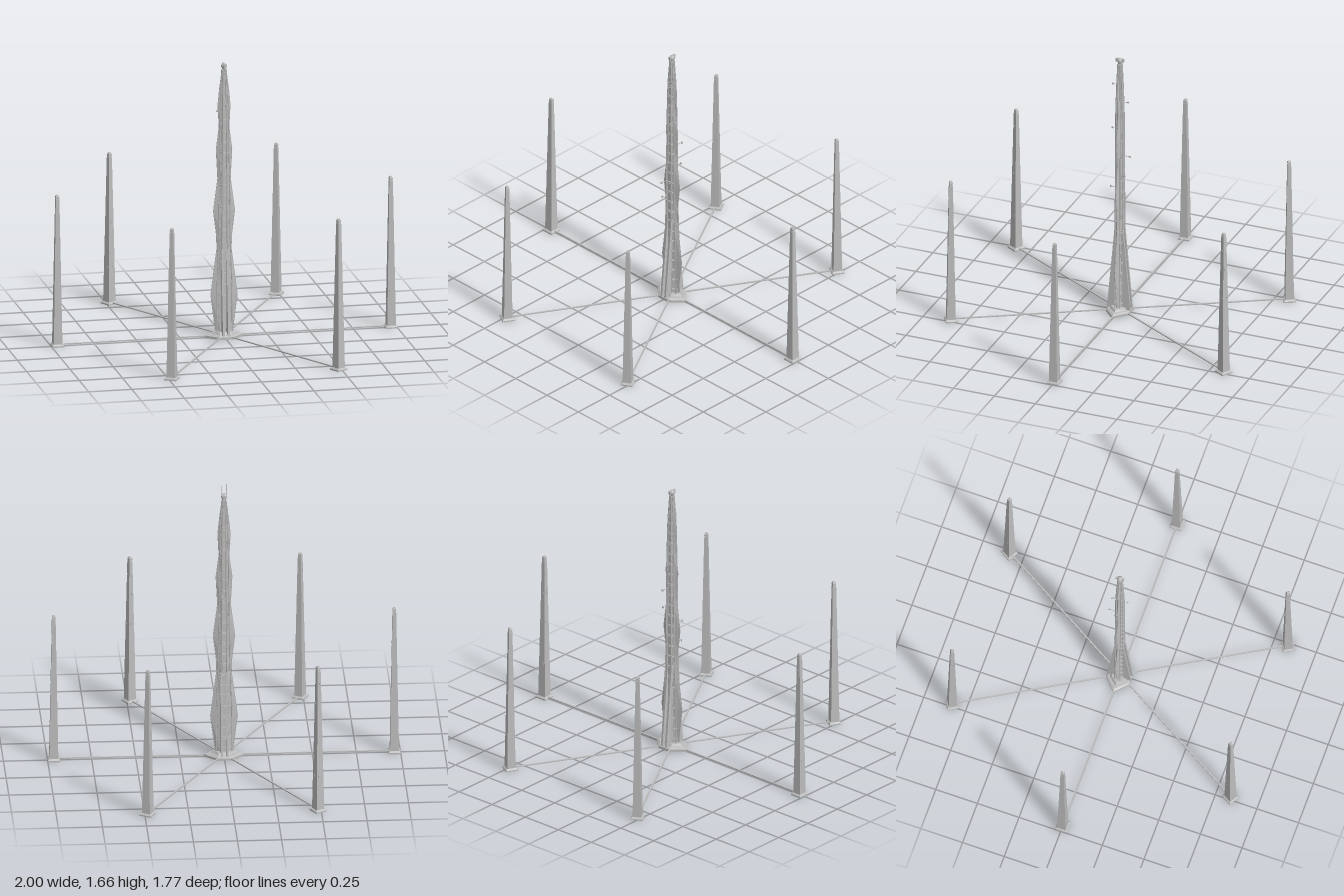
import * as THREE from 'three';

const grey = new THREE.MeshStandardMaterial({ color: 0xbcbcbc });
grey.name = 'light grey';

function add(parent, name, geometry, x = 0, y = 0, z = 0) {
  const m = new THREE.Mesh(geometry, grey);
  m.name = name;
  m.position.set(x, y, z);
  parent.add(m);
  return m;
}
const box = (w, h, d) => new THREE.BoxGeometry(w, h, d);

// round bar between two points
function bar(parent, name, a, b, r) {
  const p = new THREE.Vector3(...a), q = new THREE.Vector3(...b);
  const m = add(parent, name, new THREE.CylinderGeometry(r, r, p.distanceTo(q), 5));
  m.position.copy(p).add(q).multiplyScalar(0.5);
  m.quaternion.setFromUnitVectors(new THREE.Vector3(0, 1, 0), q.sub(p).normalize());
}

// flat-faced skin through horizontal rings of equal point count
function loft(rings) {
  const v = [], n = rings[0].length;
  const tri = (a, b, c) => v.push(...a, ...b, ...c);
  for (let i = 0; i + 1 < rings.length; i++) {
    for (let j = 0; j < n; j++) {
      const k = (j + 1) % n, A = rings[i], B = rings[i + 1];
      tri(A[j], B[j], B[k]);
      tri(A[j], B[k], A[k]);
    }
  }
  const low = rings[0], top = rings[rings.length - 1];
  for (let j = 1; j + 1 < n; j++) {
    tri(low[0], low[j], low[j + 1]);
    tri(top[0], top[j + 1], top[j]);
  }
  const g = new THREE.BufferGeometry();
  g.setAttribute('position', new THREE.Float32BufferAttribute(v, 3));
  g.computeVertexNormals();
  return g;
}
// rings run clockwise seen from above, so the skin faces outward
// six-sided ring: points on +x and -x, flats on +z and -z
const hex = (y, w, f, d) => [[w, y, 0], [f, y, -d], [-f, y, -d], [-w, y, 0], [-f, y, d], [f, y, d]].reverse();
const square = (y, s) => [[s, y, s], [-s, y, s], [-s, y, -s], [s, y, -s]];

// linear interpolation in a list of [y, value]
function at(list, y) {
  for (let i = 0; i + 1 < list.length; i++) {
    const [y0, a] = list[i], [y1, b] = list[i + 1];
    if (y <= y1) return a + (b - a) * Math.max(0, (y - y0) / (y1 - y0));
  }
  return list[list.length - 1][1];
}

function makePylon() {
  const g = new THREE.Group();
  g.name = 'pylon';
  add(g, 'pylonBase', loft([square(0, 0.035), square(0.008, 0.035), square(0.016, 0.027)]));
  add(g, 'pylonShaft', loft([square(0.014, 0.025), square(0.855, 0.0105), square(0.872, 0.0085)]));
  add(g, 'pylonCap', loft([square(0.868, 0.01), square(0.876, 0.01), square(0.886, 0.006)]));
  // small flat studs on the faces
  [0.22, 0.48, 0.66, 0.78].forEach((y, i) => {
    const s = 0.025 - (y - 0.014) * 0.0172, o = (i % 2 ? 0.4 : -0.4) * s;
    for (const k of [-1, 1]) {
      add(g, 'stud', box(0.004, 0.012, 0.002), o, y, k * s);
      add(g, 'stud', box(0.002, 0.012, 0.004), k * s, y, -o);
    }
  });
  return g;
}

function makeTower() {
  const g = new THREE.Group();
  g.name = 'tower';
  const frame = [[0.03, 0.05], [0.3, 0.048], [0.6, 0.036], [1.0, 0.031], [1.25, 0.027], [1.42, 0.024], [1.57, 0.012]];
  const depth = [[0.03, 0.024], [1.3, 0.02], [1.57, 0.01]];
  const wings = [[0.03, 0.05], [0.25, 0.077], [0.52, 0.042], [0.6, 0.045], [0.74, 0.062], [0.93, 0.037],
    [1.1, 0.046], [1.23, 0.029], [1.36, 0.036], [1.46, 0.026], [1.57, 0.012]];

  // stepped hexagonal foot
  add(g, 'footLower', loft([hex(0, 0.115, 0.04, 0.07), hex(0.014, 0.115, 0.04, 0.07), hex(0.022, 0.095, 0.036, 0.06)]));
  add(g, 'footUpper', loft([hex(0.02, 0.08, 0.035, 0.05), hex(0.036, 0.065, 0.032, 0.04)]));

  // bulging side wings
  add(g, 'wings', loft(wings.map(([y, w]) => hex(y, w, at(frame, y) * 0.4, at(depth, y) * 0.75))));

  // paired front and back buttresses, broad at the foot
  for (const k of [-1, 1]) {
    for (const s of [-1, 1]) {
      const ring = (y, z) => {
        const x = s * 0.015, a = 0.006, near = k * 0.01, far = k * z;
        const p = [[x + a, y, far], [x - a, y, far], [x - a, y, near], [x + a, y, near]];
        return k > 0 ? p : p.reverse();
      };
      add(g, 'buttress', loft([ring(0.02, 0.072), ring(0.035, 0.07), ring(0.52, 0.026)]));
    }
  }

  // upright posts following the taper
  for (const sx of [-1, 1]) for (const sz of [-1, 1]) {
    for (let i = 0; i + 1 < frame.length; i++) {
      const [y0, w0] = frame[i], [y1, w1] = frame[i + 1];
      const z0 = sz * at(depth, y0), z1 = sz * at(depth, y1);
      bar(g, 'outerPost', [sx * w0 * 0.9, y0, z0 * 0.65], [sx * w1 * 0.9, y1, z1 * 0.65], 0.0035);
      bar(g, 'innerPost', [sx * w0 * 0.4, y0, z0], [sx * w1 * 0.4, y1, z1], 0.0045);
    }
  }

  // hoops, face panels and braces at each storey
  for (let i = 0; i < 24; i++) {
    const y = 0.06 + i * 0.064, w = at(frame, y), d = at(depth, y);
    add(g, 'hoop', loft([hex(y - 0.003, w * 1.02, w * 0.55, d + 0.002), hex(y + 0.003, w * 1.02, w * 0.55, d + 0.002)]));
    if (i < 23) for (const k of [-1, 1]) {
      add(g, 'facePanel', box(w * 0.55, 0.05, 0.006), 0, y + 0.032, k * (d * 0.85));
      const u = at(frame, y + 0.064) * 0.85, s = (i % 2 ? 1 : -1) * k;
      bar(g, 'brace', [s * w * 0.4, y, k * d], [s * u, y + 0.064, k * d * 0.7], 0.002);
    }
  }

  // edge ribs along the wings
  for (const s of [-1, 1]) {
    for (let i = 0; i + 1 < wings.length; i++) {
      bar(g, 'wingRib', [s * wings[i][1], wings[i][0], 0], [s * wings[i + 1][1], wings[i + 1][0], 0], 0.0018);
    }
  }

  // projecting rods with small heads: height, reach in z, x
  const rods = [[1.44, 0.04, 0.01], [1.315, -0.038, -0.03], [1.17, 0.038, 0.025], [0.995, -0.068, 0.012],
    [0.875, -0.042, 0.03], [0.77, 0.064, -0.02], [0.66, 0.04, -0.035]];
  for (const [y, z, x] of rods) {
    bar(g, 'rod', [x * 0.6, y, 0], [x, y, z], 0.002);
    add(g, 'rodHead', box(0.008, 0.011, 0.006), x, y, z);
  }

  // crown with two hair-thin spikes
  add(g, 'neck', new THREE.CylinderGeometry(0.01, 0.014, 0.04, 8), 0, 1.565, 0);
  add(g, 'knob', new THREE.SphereGeometry(0.017, 10, 8), 0, 1.588, 0);
  for (const k of [-1, 1]) {
    add(g, 'knobLug', box(0.012, 0.02, 0.012), 0, 1.592, k * 0.018);
    bar(g, 'spike', [k * 0.014, 1.59, -k * 0.014], [k * 0.014, 1.66, -k * 0.014], 0.0005);
  }
  return g;
}

export function createModel() {
  const model = new THREE.Group();
  model.name = 'towerWithPylons';
  model.add(makeTower());
  // six spokes with a pylon at each end
  for (let i = 0; i < 6; i++) {
    const spoke = new THREE.Group();
    spoke.name = 'spoke';
    spoke.rotation.y = i * Math.PI / 3;
    const pylon = makePylon();
    pylon.position.x = 0.965;
    spoke.add(pylon);
    add(spoke, 'rail', box(0.9, 0.006, 0.009), 0.5, 0.01, 0);
    model.add(spoke);
  }
  return model;
}
